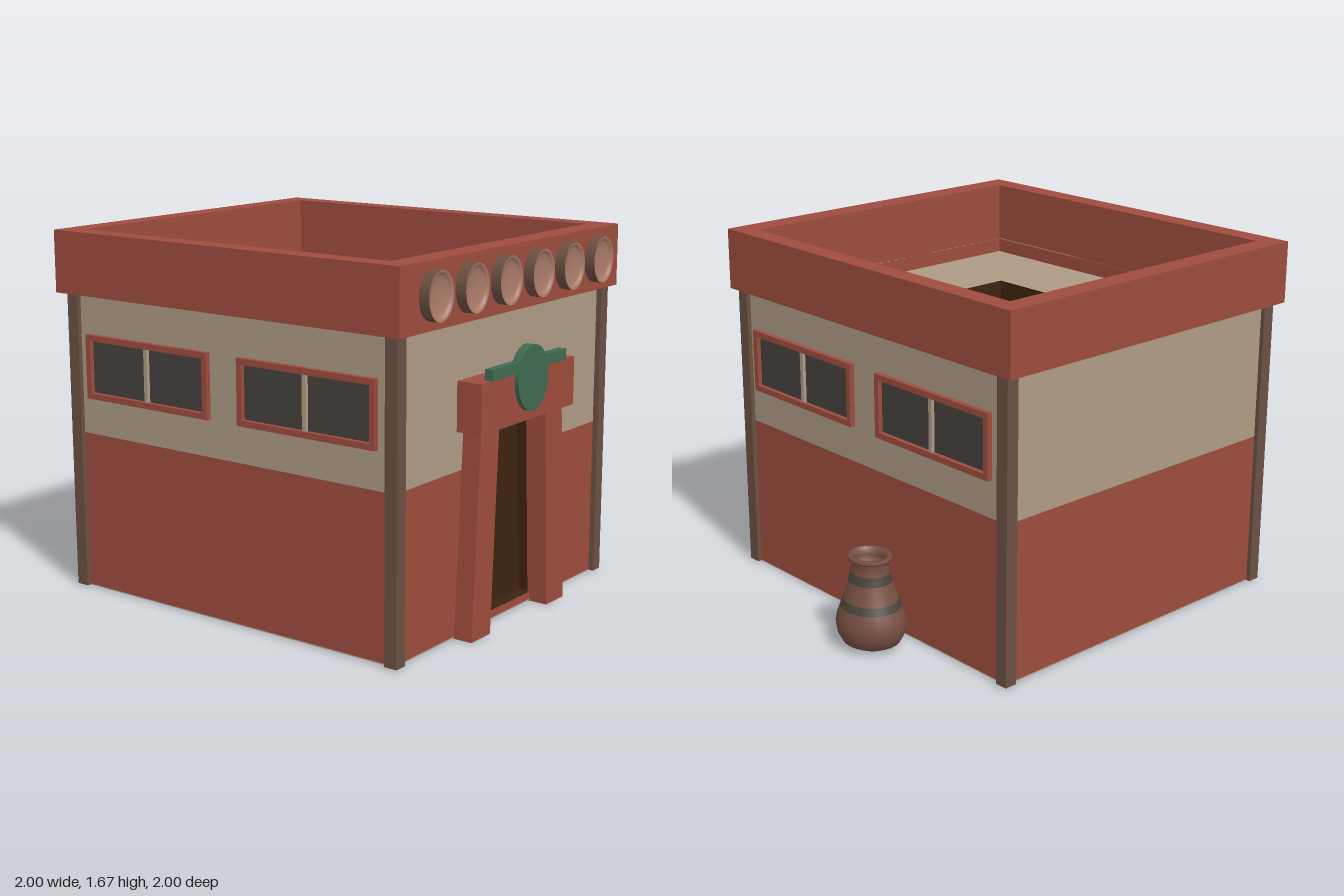
import * as THREE from 'three';

const mat = (name, color) => {
  const m = new THREE.MeshStandardMaterial({ color });
  m.name = name;
  return m;
};

export function createModel() {
  const red = mat('red clay', 0x9e4c3e);
  const beige = mat('beige plaster', 0xae9b84);
  const wood = mat('brown wood', 0x6b5044);
  const dark = mat('dark interior', 0x3d230f);
  const glass = mat('window glass', 0x45413c);
  const green = mat('green emblem', 0x3f6a50);
  const salmon = mat('pale clay', 0xab7c68);
  const clay = mat('pot clay', 0x795043);
  const paint = mat('pot paint', 0x4b4540);
  paint.side = clay.side = THREE.DoubleSide;

  const model = new THREE.Group();
  model.name = 'adobeHouse';
  const add = (name, geo, material, parent = model) => {
    const m = new THREE.Mesh(geo, material);
    m.name = name;
    parent.add(m);
    return m;
  };
  // Box given by its limits on each axis
  const box = (name, material, x0, x1, y0, y1, z0, z1, parent) => {
    const m = add(name, new THREE.BoxGeometry(x1 - x0, y1 - y0, z1 - z0), material, parent);
    m.position.set((x0 + x1) / 2, (y0 + y1) / 2, (z0 + z1) / 2);
    return m;
  };
  const poly = (pts) => new THREE.Shape(pts.map((p) => new THREE.Vector2(p[0], p[1])));
  const rect = (x0, x1, y0, y1) => poly([[x0, y0], [x1, y0], [x1, y1], [x0, y1]]);
  const extrude = (shape, depth) => new THREE.ExtrudeGeometry(shape, { depth, bevelEnabled: false });
  const frame = (outer, inner, depth) => {
    const s = rect(...outer);
    s.holes.push(rect(...inner));
    return extrude(s, depth);
  };
  // Horizontal slab or ring: x and z limits, standing from y0 to y1
  const ring = (name, material, o, i, y0, y1) => {
    const flip = ([x0, x1, z0, z1]) => [x0, x1, -z1, -z0];
    const g = frame(flip(o), flip(i), y1 - y0);
    g.rotateX(-Math.PI / 2);
    g.translate(0, y0, 0);
    return add(name, g, material);
  };

  const cx = -0.135, x0 = -0.95, x1 = 0.68, z0 = -0.94, z1 = 0.86;
  const inner = [-0.90, 0.63, -0.895, 0.80];
  const split = 0.74, top = 1.39;

  // Side and back walls in two painted bands
  for (const [name, m, a, b] of [['lowerWall', red, 0.01, split], ['upperWall', beige, split, top]]) {
    box(name + 'Right', m, x0, inner[0], a, b, z0, z1);
    box(name + 'Left', m, inner[1], x1, a, b, z0, z1);
    box(name + 'Back', m, inner[0], inner[1], a, b, z0, inner[2]);
  }

  // Front wall with a tapering doorway
  const doorHalf = (y) => 0.24 - 0.05 * (y - 0.045) / 0.865;
  const hb = doorHalf(0.045), hs = doorHalf(split), ht = doorHalf(0.91);
  const lower = poly([[inner[0], 0.01], [inner[1], 0.01], [inner[1], split], [cx + hs, split],
    [cx + hb, 0.045], [cx - hb, 0.045], [cx - hs, split], [inner[0], split]]);
  const upper = poly([[inner[0], split], [cx - hs, split], [cx - ht, 0.91], [cx + ht, 0.91],
    [cx + hs, split], [inner[1], split], [inner[1], top], [inner[0], top]]);
  add('lowerWallFront', extrude(lower, 0.06), [red, dark]).position.z = 0.80;
  add('upperWallFront', extrude(upper, 0.06), [beige, dark]).position.z = 0.80;
  box('doorwayInterior', dark, -0.42, 0.15, 0.02, 0.95, 0.78, 0.80);

  // Base, roof with a shallow sunken opening, parapet
  box('base', beige, x0, x1, 0.005, 0.01, z0, z1);
  ring('roof', [beige, dark], inner, [-0.48, 0.21, -0.43, 0.34], 1.22, 1.32);
  box('roofOpeningFloor', dark, -0.52, 0.25, 1.20, 1.22, -0.47, 0.38);
  ring('parapet', red, [-1.0, 0.725, -1.0, 0.915], inner, 1.385, 1.67);
  ring('parapetLiner', red, inner, [-0.895, 0.625, -0.89, 0.795], 1.31, 1.386);

  // Corner posts
  for (const px of [-0.97, 0.64]) {
    for (const pz of [-0.96, 0.823]) box('cornerPost', wood, px, px + 0.06, 0.005, 1.386, pz, pz + 0.062);
  }

  // Windows, two on each side
  for (const side of [-1, 1]) {
    for (const [zc, mull] of [[0.4125, 0.41], [-0.485, -0.485]]) {
      const w = new THREE.Group();
      w.name = 'window';
      const h = 0.3635;
      add('windowFrame', frame([-h, h, -0.1475, 0.1475], [-h + 0.027, h - 0.027, -0.12, 0.12], 0.025), red, w);
      box('windowGlass', glass, -h + 0.01, h - 0.01, -0.13, 0.13, 0, 0.004, w);
      const d = (zc - mull) * side;
      box('windowMullion', beige, d - 0.01, d + 0.01, -0.12, 0.12, 0, 0.02, w);
      w.rotation.y = side * Math.PI / 2;
      w.position.set(side > 0 ? x1 : x0, 1.0575, zc);
      model.add(w);
    }
  }

  // Door surround: leaning pilasters and lintel
  for (const s of [-1, 1]) {
    const pts = [[0.235, 0], [0.38, 0], [0.327, 0.92], [0.188, 0.92]].map(([x, y]) => [cx + s * x, y]);
    add('doorPilaster', extrude(poly(pts), 0.1), red).position.z = 0.85;
  }
  box('doorLintel', red, -0.512, 0.24, 0.912, 1.13, 0.85, 0.98);

  // Emblem over the door
  box('emblemBar', green, -0.435, 0.16, 1.13, 1.178, 0.945, 0.985);
  const disc = new THREE.CylinderGeometry(1, 1, 0.045, 40);
  disc.rotateX(Math.PI / 2);
  disc.scale(0.121, 0.144, 1);
  add('emblemDisc', disc, green).position.set(cx, 1.098, 0.9775);

  // Row of dished roundels on the parapet
  const dishPts = [[0, 0.03], [0.45, 0.032], [0.75, 0.037], [0.86, 0.043], [0.9, 0.05], [1, 0.05]]
    .map((p) => new THREE.Vector2(...p)).reverse();
  for (let i = 0; i < 6; i++) {
    const g = new THREE.Group();
    g.name = 'roundel';
    const side = new THREE.CylinderGeometry(1, 1, 0.05, 32, 1, true);
    side.translate(0, 0.025, 0);
    add('roundelRim', side, wood, g);
    const dish = new THREE.LatheGeometry(dishPts.slice(), 32);
    const face = add('roundelDish', dish, salmon, g);
    face.material.side = THREE.DoubleSide;
    g.rotation.x = Math.PI / 2;
    g.scale.set(0.087, 1, 0.105);
    g.position.set(-0.785 + i * 0.259, 1.53, 0.915);
    model.add(g);
  }

  // Clay pot with two painted bands
  const pot = new THREE.Group();
  pot.name = 'pot';
  const section = (name, pts, m) =>
    add(name, new THREE.LatheGeometry(pts.map((p) => new THREE.Vector2(...p)), 24), m, pot);
  section('potBelly', [[0, 0], [0.085, 0.002], [0.125, 0.025], [0.145, 0.065], [0.152, 0.11],
    [0.145, 0.15], [0.131, 0.19]], clay);
  section('potLowerBand', [[0.131, 0.19], [0.119, 0.225]], paint);
  section('potShoulder', [[0.119, 0.225], [0.104, 0.27], [0.093, 0.31]], clay);
  section('potUpperBand', [[0.093, 0.31], [0.084, 0.352]], paint);
  section('potNeck', [[0.084, 0.352], [0.073, 0.405], [0.092, 0.41], [0.095, 0.42], [0.09, 0.43],
    [0.073, 0.428], [0.064, 0.4], [0.07, 0.36], [0, 0.35]], clay);
  pot.scale.z = 1.1;
  pot.position.set(0.847, 0.005, -0.245);
  model.add(pot);

  return model;
}
